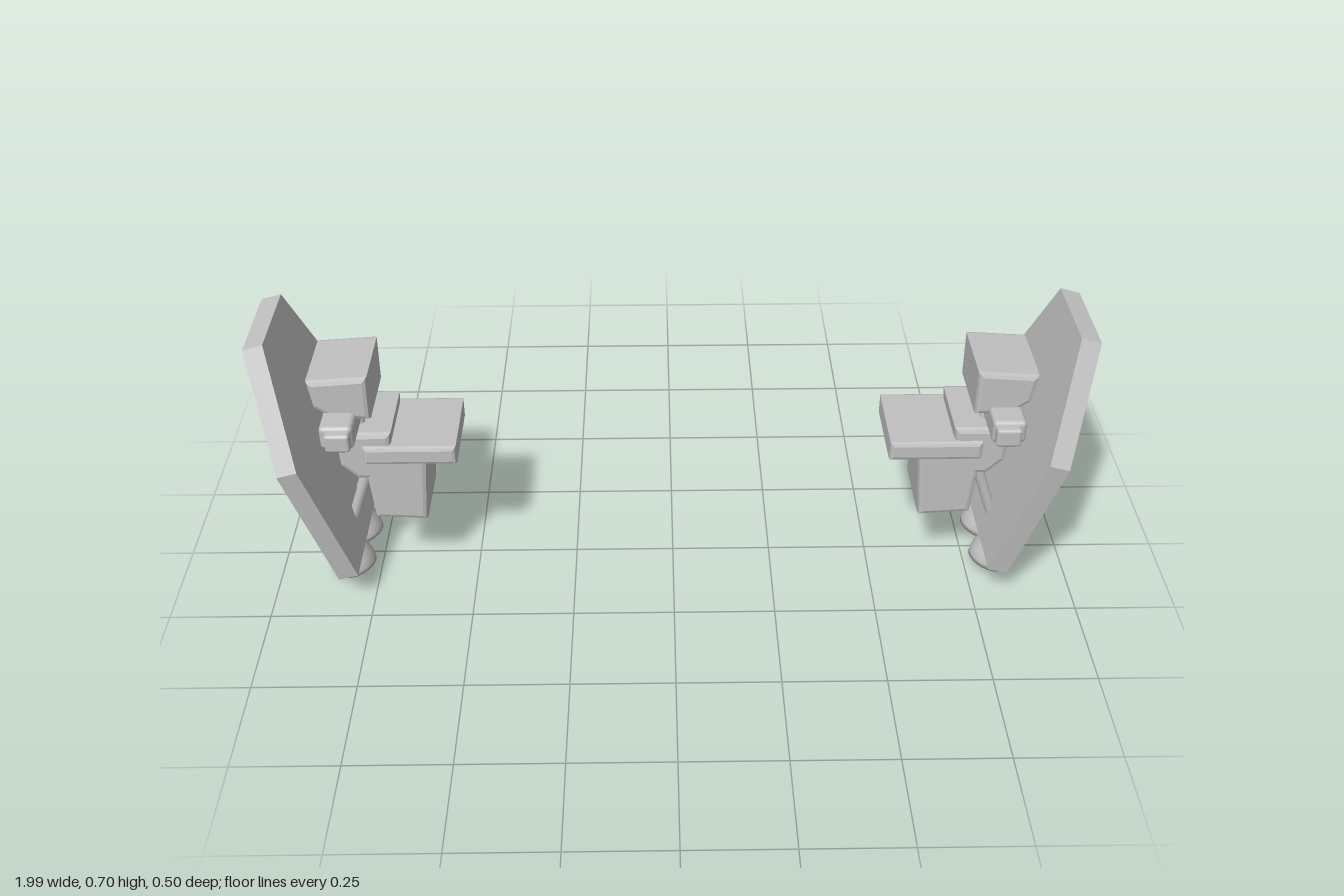
import * as THREE from 'three';
import { RoundedBoxGeometry } from 'three/addons/geometries/RoundedBoxGeometry.js';

const grey = new THREE.MeshStandardMaterial({ color: 0xc0c0c0 });
grey.name = 'light grey';

function part(name, geometry, parent) {
  const mesh = new THREE.Mesh(geometry, grey);
  mesh.name = name;
  parent.add(mesh);
  return mesh;
}

function outline(points) {
  return new THREE.Shape(points.map(([x, y]) => new THREE.Vector2(x, y)));
}

// Soft-edged block: an x-y profile extruded symmetrically along z.
function block(name, points, depth, bevel, parent) {
  const geometry = new THREE.ExtrudeGeometry(outline(points), {
    depth: depth - 2 * bevel,
    bevelSize: bevel, bevelThickness: bevel, bevelOffset: -bevel, bevelSegments: 2,
  });
  geometry.translate(0, 0, -depth / 2 + bevel);
  return part(name, geometry, parent);
}

// Round rod between two points.
function rod(name, a, b, radius, parent) {
  const from = new THREE.Vector3(...a), to = new THREE.Vector3(...b);
  const direction = to.clone().sub(from);
  const mesh = part(name, new THREE.CylinderGeometry(radius, radius, direction.length(), 10), parent);
  mesh.position.copy(from).add(to).multiplyScalar(0.5);
  mesh.quaternion.setFromUnitVectors(new THREE.Vector3(0, 1, 0), direction.normalize());
}

// Leaning outer shield with its backpack panel and two thrusters.
function createShield() {
  const shield = new THREE.Group();
  shield.name = 'shieldAssembly';
  shield.position.set(0.83, 0.075, 0);
  shield.rotation.z = -0.265;

  const plate = new THREE.ExtrudeGeometry(outline([
    [-0.2, 0], [0.2, 0], [0.25, 0.365], [0.133, 0.632], [-0.1, 0.632], [-0.25, 0.365],
  ]), { depth: 0.05, bevelEnabled: false });
  plate.rotateY(Math.PI / 2).translate(-0.05, 0, 0);
  part('shieldPlate', plate, shield);

  const panel = part('backPanel', new RoundedBoxGeometry(0.06, 0.418, 0.2, 2, 0.014), shield);
  panel.position.set(0.002, 0.277, 0);

  const profile = [
    [0, -0.062], [0.054, -0.062], [0.056, -0.05], [0.054, -0.03], [0.046, 0.005],
    [0.033, 0.04], [0.025, 0.066], [0.023, 0.07], [0.023, 0.107], [0, 0.107],
  ].map(([r, y]) => new THREE.Vector2(r, y));
  for (const z of [-0.067, 0.067]) {
    part('thruster', new THREE.LatheGeometry(profile, 24), shield).position.z = z;
  }
  return shield;
}

function createSide() {
  const side = new THREE.Group();
  side.add(createShield());

  // Stacked body
  block('head', [[0.722, 0.485], [0.81, 0.487], [0.855, 0.52], [0.865, 0.592], [0.72, 0.602]], 0.2, 0.012, side);
  block('chest', [[0.69, 0.31], [0.77, 0.31], [0.81, 0.35], [0.815, 0.425], [0.8, 0.442], [0.68, 0.442]], 0.2, 0.012, side);
  block('lowerBox', [[0.612, 0.182], [0.74, 0.19], [0.755, 0.38], [0.597, 0.38]], 0.2, 0.012, side);
  block('trayTop', [[0.525, 0.36], [0.75, 0.36], [0.75, 0.41], [0.525, 0.41]], 0.224, 0.01, side);

  // Small forward pod below the head
  const pod = part('forwardPod', new RoundedBoxGeometry(0.08, 0.062, 0.13, 2, 0.012), side);
  pod.position.set(0.795, 0.476, 0.1);
  part('podTip', new RoundedBoxGeometry(0.06, 0.048, 0.04, 2, 0.008), side).position.set(0.79, 0.475, 0.167);

  // Neck and shield struts in pairs
  for (const z of [-0.04, 0.04]) {
    rod('neckStrut', [0.755, 0.425, z], [0.775, 0.5, z], 0.012, side);
    rod('shieldStrut', [0.745, 0.33, z], [0.815, 0.13, z], 0.014, side);
  }
  return side;
}

export function createModel() {
  const model = new THREE.Group();
  model.name = 'pairedPods';
  for (const sign of [1, -1]) {
    const side = createSide();
    side.name = sign > 0 ? 'leftPod' : 'rightPod';
    side.scale.x = sign;
    model.add(side);
  }
  return model;
}
